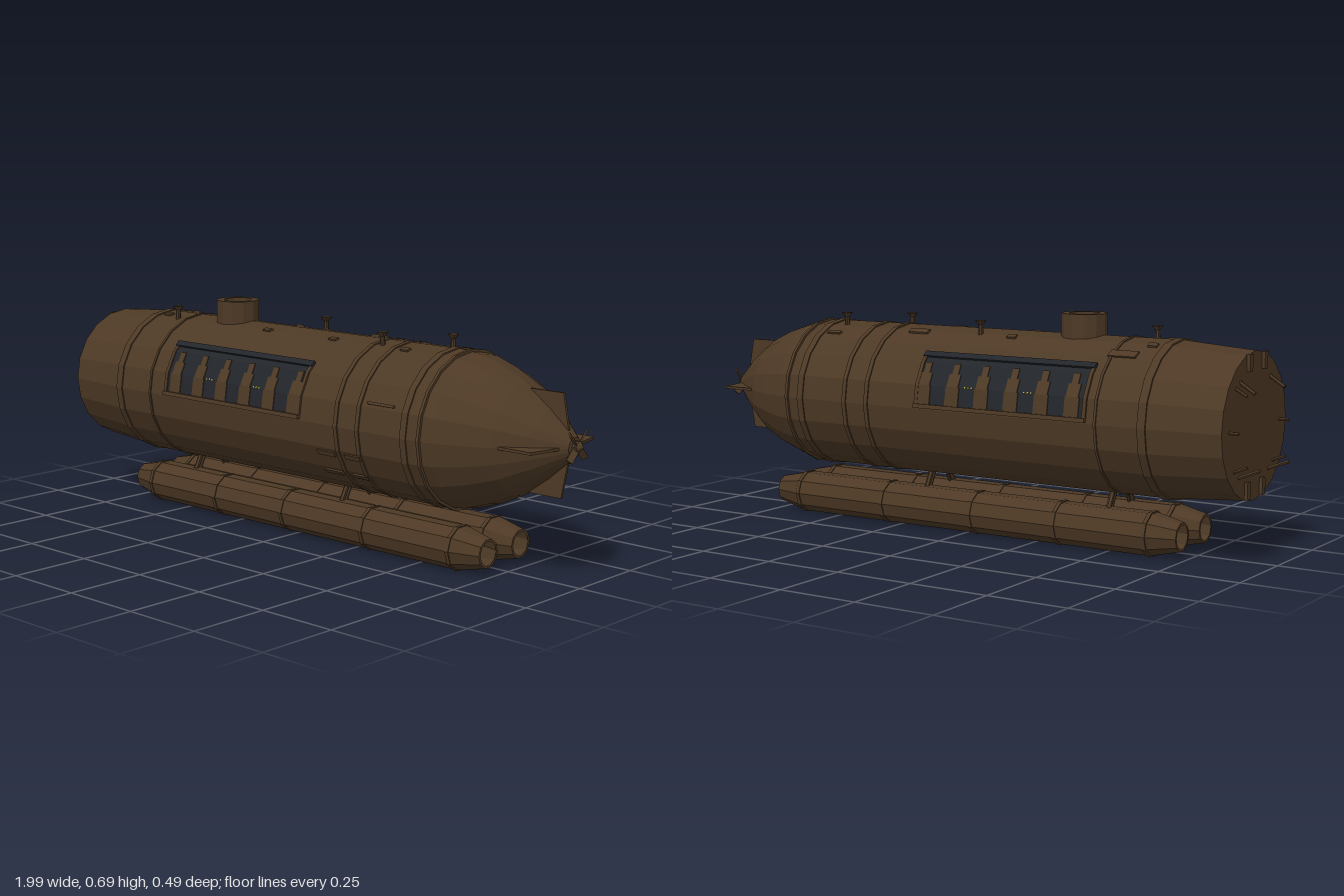
import * as THREE from 'three';

const CY = 0.405, R = 0.234, SIDES = 20;
const mat = (name, color) => {
  const m = new THREE.MeshStandardMaterial({ color, flatShading: true, side: THREE.DoubleSide });
  m.name = name;
  return m;
};

export function createModel() {
  const brown = mat('brown hull', 0x4d3925);
  const dark = mat('dark glass', 0x22252a);
  const yellow = mat('yellow lights', 0xd8c83c);
  const model = new THREE.Group();

  const add = (name, geo, material = brown, x = 0, y = 0, z = 0, parent = model) => {
    const mesh = new THREE.Mesh(geo, material);
    mesh.name = name;
    mesh.position.set(x, y, z);
    parent.add(mesh);
    return mesh;
  };
  // body of revolution lying along x, from [x, radius] pairs
  const turned = (profile, sides = SIDES) =>
    new THREE.LatheGeometry(profile.map(([x, r]) => new THREE.Vector2(r, x)), sides).rotateZ(-Math.PI / 2);
  // round bar between two points
  const rod = (name, a, b, r, sides = 6) => {
    const p = new THREE.Vector3(...a), q = new THREE.Vector3(...b);
    const m = add(name, new THREE.CylinderGeometry(r, r, p.distanceTo(q), sides));
    m.position.copy(p).add(q).multiplyScalar(0.5);
    m.quaternion.setFromUnitVectors(new THREE.Vector3(0, 1, 0), q.sub(p).normalize());
  };
  // plate that follows the hull facets; angles run from +z (0) over the top (90) to -z (180)
  const plate = (name, x0, x1, a0, a1, lift, material = brown) => {
    const angles = [a0];
    for (let a = Math.floor(a0 / 18) * 18 + 18; a < a1; a += 18) angles.push(a);
    angles.push(a1);
    const at = (deg, extra) => {
      const off = (((deg % 18) + 18) % 18 - 9) * Math.PI / 180, t = deg * Math.PI / 180;
      const r = R * Math.cos(Math.PI / 20) / Math.cos(off) + extra;
      return new THREE.Vector2(-r * Math.cos(t), r * Math.sin(t));
    };
    const outline = [...angles.map(a => at(a, lift)), ...angles.slice().reverse().map(a => at(a, -0.004))];
    const geo = new THREE.ExtrudeGeometry(new THREE.Shape(outline), { depth: x1 - x0, bevelEnabled: false });
    return add(name, geo.rotateY(Math.PI / 2), material, x0, CY, 0);
  };

  // hull with flat stern and tapered nose
  add('hull', turned([[-0.92, 0], [-0.92, 0.216], [-0.68, R], [0.57, R], [0.64, 0.226], [0.72, 0.2],
    [0.8, 0.163], [0.89, 0.098], [0.97, 0.03], [0.975, 0]]), brown, 0, CY);

  // hoops around the hull
  for (const [x, w] of [[-0.68, 0.026], [-0.53, 0.008], [0.285, 0.014], [0.37, 0.014], [0.545, 0.022], [0.6, 0.01]])
    add('hullHoop', turned([[-w / 2, 0.225], [-w / 2, 0.238], [w / 2, 0.238], [w / 2, 0.225]]), brown, x, CY);

  // window gallery on each flank
  for (const front of [true, false]) {
    const left = front ? -0.46 : -0.5, right = left + 0.6;
    const flank = (name, x0, x1, a0, a1, lift, m) =>
      front ? plate(name, x0, x1, a0, a1, lift, m) : plate(name, x0, x1, 180 - a1, 180 - a0, lift, m);
    flank('windowGlass', left + 0.01, right - 0.01, 4, 43, 0.002, dark);
    flank('windowSill', left, right, 1, 4, 0.012);
    flank('windowAwning', left, right, 41, 45.5, 0.01, dark);
    for (const x of [left, right - 0.012]) flank('windowJamb', x, x + 0.012, 3, 42, 0.006);
    for (let i = 0; i < 6; i++) {
      const x = left + 0.025 + i * 0.104;
      // ribs narrow toward the top
      flank('windowRib', x, x + 0.048, 4, 18, 0.005);
      flank('windowRibMiddle', x + 0.004, x + 0.045, 18, 28, 0.005);
      flank('windowRibTop', x + 0.014, x + 0.036, 28, 36, 0.005);
      if (i === 1 || i === 3)
        for (let k = 0; k < 3; k++)
          flank('cabinLight', x + 0.058 + k * 0.012, x + 0.062 + k * 0.012, 18, 19, 0.004, yellow);
    }
  }

  // access plates on the hull: x0, x1, start angle, end angle
  for (const [x0, x1, a0, a1] of [[-0.61, -0.52, 120, 127], [0.15, 0.22, 108, 113], [0.47, 0.52, 118, 121],
    [-0.17, -0.14, 71, 75], [0.11, 0.14, 71, 75], [-0.65, -0.62, 75, 80], [0.4, 0.5, 20, 22],
    [0.2, 0.27, -24, -20], [0.2, 0.27, -42, -38], [0.31, 0.37, -24, -20], [0.31, 0.37, -42, -38],
    [-0.17, -0.14, 108, 112], [-0.65, -0.62, 108, 112], [0.4, 0.43, 70, 74]])
    plate('accessPlate', x0, x1, a0, a1, 0.006);

  // entry tower, hollow with a closed hatch
  const tower = [[0.046, 0.61], [0.07, 0.61], [0.07, 0.702], [0.046, 0.702], [0.046, 0.61]];
  add('entryTower', new THREE.LatheGeometry(tower.map(p => new THREE.Vector2(...p)), 12), brown, -0.36);
  add('towerHatch', new THREE.CylinderGeometry(0.047, 0.047, 0.012, 12), brown, -0.36, 0.648);
  add('hatchHandle', new THREE.BoxGeometry(0.008, 0.01, 0.05), brown, -0.375, 0.658);

  // flared vents along the top
  for (const [x, z] of [[-0.57, 0.07], [-0.035, -0.07], [0.31, 0.055], [0.49, -0.055]]) {
    add('ventStem', new THREE.CylinderGeometry(0.007, 0.009, 0.05, 8), brown, x, 0.638, z);
    add('ventFlare', new THREE.CylinderGeometry(0.018, 0.008, 0.013, 8), brown, x, 0.662, z);
  }

  // four tail fins
  const fin = new THREE.Shape([[0.79, 0.1], [0.8, 0.15], [0.93, 0.15], [0.955, 0.02], [0.9, 0.02]]
    .map(p => new THREE.Vector2(...p)));
  const finGeo = new THREE.ExtrudeGeometry(fin, { depth: 0.008, bevelEnabled: false }).translate(0, 0, -0.004);
  for (let i = 0; i < 4; i++) add('tailFin', finGeo, brown, 0, CY).rotation.x = i * Math.PI / 2;

  // propeller with hub, ring and four twisted blades
  const propeller = new THREE.Group();
  propeller.name = 'propeller';
  propeller.position.set(0.975, CY + 0.005, 0);
  model.add(propeller);
  add('propellerHub', turned([[-0.03, 0.018], [0.01, 0.016], [0.024, 0]], 10), brown, 0, 0, 0, propeller);
  add('propellerRing', new THREE.TorusGeometry(0.023, 0.004, 6, 12).rotateY(Math.PI / 2), brown, -0.012, 0, 0, propeller);
  for (let i = 0; i < 4; i++) {
    const blade = new THREE.BoxGeometry(0.005, 0.04, 0.02).rotateY(0.7).translate(0, 0.034, 0);
    add('propellerBlade', blade, brown, 0.004, 0, 0, propeller).rotation.x = Math.PI / 4 + i * Math.PI / 2;
  }

  // open-ended pontoons with bands, and their struts
  for (const s of [1, -1]) {
    const z = s * 0.076, y = 0.074;
    add('pontoon', turned([[-0.735, 0.036], [-0.735, 0.044], [-0.64, 0.066], [0.64, 0.066],
      [0.735, 0.044], [0.735, 0.036]], 10), brown, 0, y, z);
    for (const x of [-0.64, -0.335, -0.035, 0.3, 0.635])
      add('pontoonBand', turned([[-0.006, 0.062], [-0.006, 0.069], [0.006, 0.069], [0.006, 0.062]], 10), brown, x, y, z);
    for (const x of [-0.49, 0.165]) {
      rod('pontoonStrut', [x, 0.19, s * 0.045], [x, 0.13, s * 0.076], 0.008);
      rod('pontoonBrace', [x, 0.19, s * 0.025], [x, 0.13, s * 0.056], 0.005);
    }
  }

  // stern hooks and fittings
  for (const s of [1, -1]) {
    rod('sternHook', [-0.91, 0.545, s * 0.1], [-0.965, 0.51, s * 0.1], 0.006);
    rod('sternHook', [-0.91, 0.53, s * 0.13], [-0.955, 0.505, s * 0.13], 0.005);
    rod('sternHook', [-0.91, 0.265, s * 0.1], [-0.985, 0.295, s * 0.1], 0.006);
    rod('sternHook', [-0.91, 0.285, s * 0.13], [-0.96, 0.305, s * 0.13], 0.005);
    rod('sternBar', [-0.91, 0.405, s * 0.17], [-0.95, 0.405, s * 0.17], 0.005);
    add('sternFitting', new THREE.BoxGeometry(0.012, 0.05, 0.02), brown, -0.924, 0.59, s * 0.05);
    add('sternFitting', new THREE.BoxGeometry(0.012, 0.05, 0.02), brown, -0.924, 0.225, s * 0.05);
  }
  return model;
}
